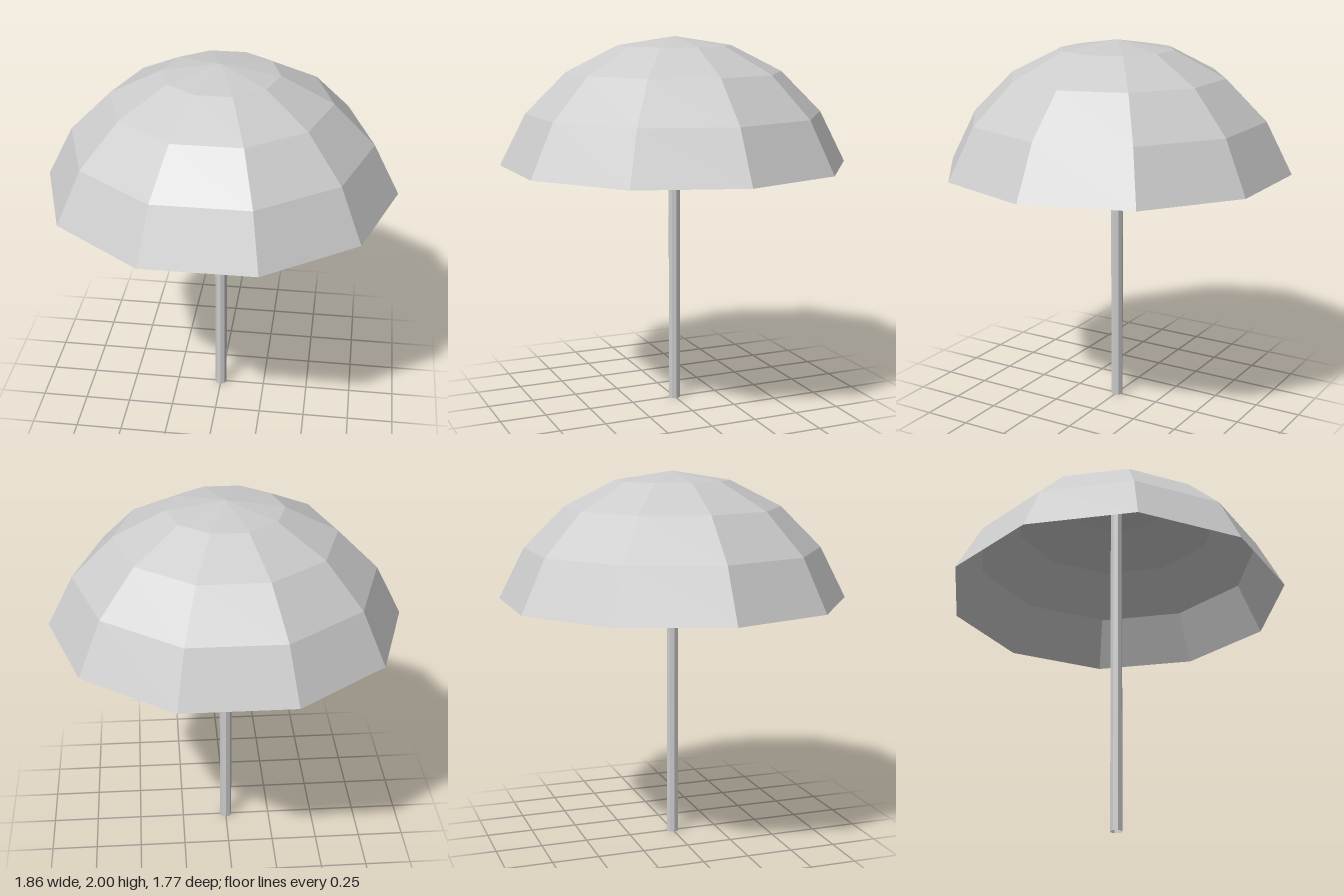
import * as THREE from 'three';

export function createModel() {
  const model = new THREE.Group();
  const material = new THREE.MeshStandardMaterial({
    color: 0xcccccc,
    flatShading: true,
    side: THREE.DoubleSide,
  });

  // Canopy: thin ten-sided dome, four bands of a sphere from the apex down to the rim
  const radius = 0.98;
  const canopy = new THREE.Mesh(
    new THREE.SphereGeometry(radius, 10, 4, 0, Math.PI * 2, 0, Math.PI * 0.4),
    material
  );
  canopy.name = 'canopy';
  canopy.position.y = 2 - radius;
  model.add(canopy);

  // Pole: slim open tube running from the ground up to the dome
  const poleHeight = 1.99;
  const pole = new THREE.Mesh(
    new THREE.CylinderGeometry(0.033, 0.033, poleHeight, 8, 1, true),
    material
  );
  pole.name = 'pole';
  pole.position.y = poleHeight / 2;
  model.add(pole);

  return model;
}
